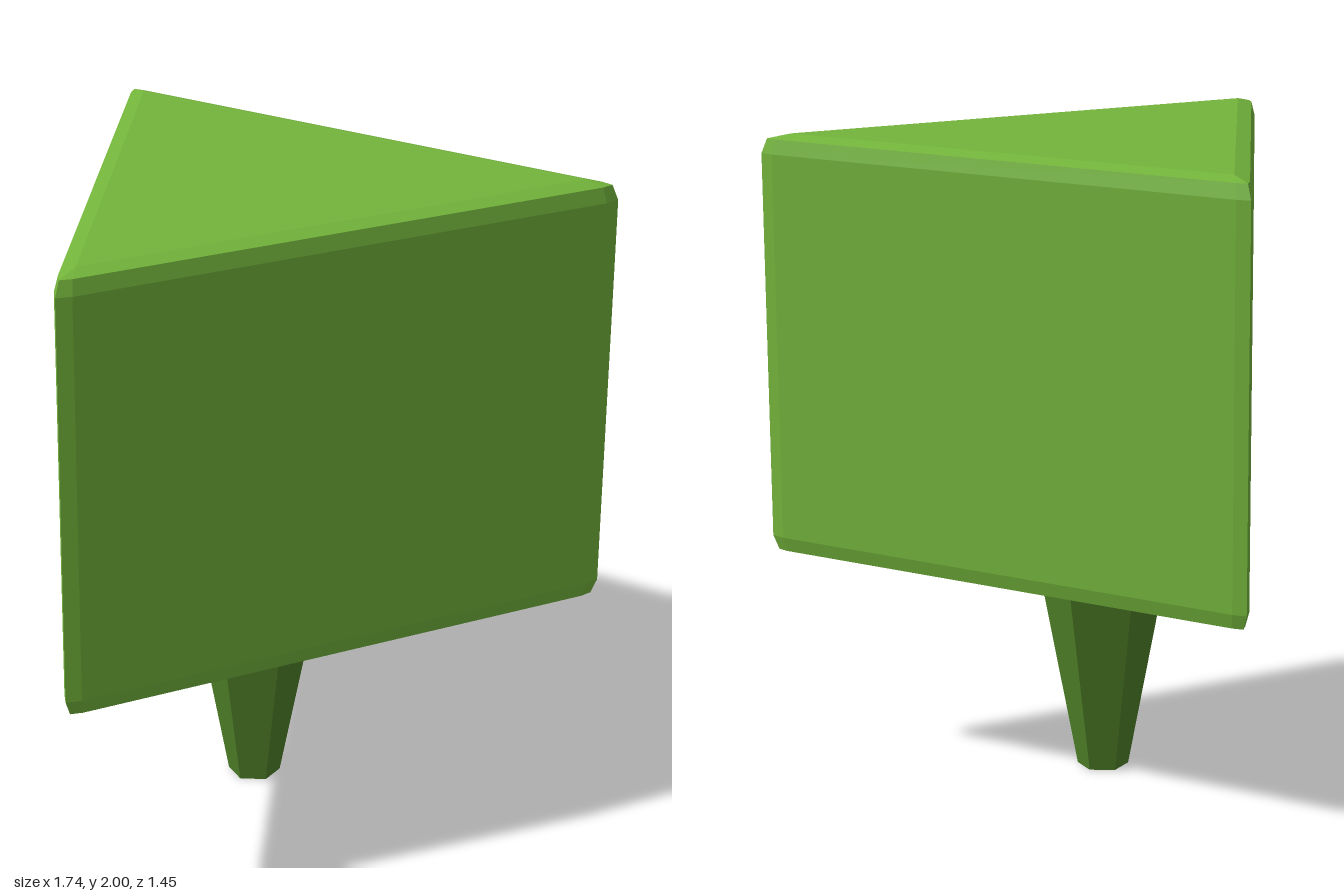
import * as THREE from 'three';
import { ConvexGeometry } from 'three/addons/geometries/ConvexGeometry.js';

const leafGreen = new THREE.MeshStandardMaterial({ color: 0x73b43b });
leafGreen.name = 'leafGreen';
const stemGreen = new THREE.MeshStandardMaterial({ color: 0x4f8228 });
stemGreen.name = 'stemGreen';

// Triangular prism with two-step bevels on the rims and corners
function beveledPrism() {
  // inner triangle [x, z], going round from the front left corner
  const core = [[0.79, 0.667], [0, -0.635], [-0.79, 0.667]].map(([x, z]) => new THREE.Vector2(x, z));
  const bevel = 0.055, tangent = 0.035, tip = 0.092;
  // outward edge normal and direction along the edge a -> b
  const edge = (a, b) => {
    const along = b.clone().sub(a).normalize();
    return { along, normal: new THREE.Vector2(-along.y, along.x) };
  };
  const points = [];
  // [height, how far the ring grows from the inner triangle]
  const rings = [[0.67, 0], [0.685, 0.8], [0.73, 1], [1.94, 1], [1.985, 0.8], [2, 0]];
  core.forEach((c, i) => {
    const before = edge(core[(i + 2) % 3], c);
    const after = edge(c, core[(i + 1) % 3]);
    // normals must point away from the middle of the triangle
    const mid = new THREE.Vector2(0, 0.233);
    for (const e of [before, after]) {
      if (e.normal.dot(c.clone().sub(mid)) < 0) e.normal.negate();
    }
    const offsets = [
      before.normal.clone().multiplyScalar(bevel).addScaledVector(before.along, tangent),
      before.normal.clone().add(after.normal).setLength(tip),
      after.normal.clone().multiplyScalar(bevel).addScaledVector(after.along, -tangent),
    ];
    for (const [y, grow] of rings) {
      for (const o of grow ? offsets : offsets.slice(0, 1)) {
        points.push(new THREE.Vector3(c.x + o.x * grow, y, c.y + o.y * grow));
      }
    }
  });
  return new ConvexGeometry(points);
}

export function createModel() {
  const group = new THREE.Group();
  group.name = 'wedgeTree';

  const crown = new THREE.Mesh(beveledPrism(), leafGreen);
  crown.name = 'crown';
  group.add(crown);

  // Six-sided stem, tapering downwards, with corners to front and back
  const stemShape = new THREE.CylinderGeometry(0.206, 0.08, 0.68, 6).toNonIndexed();
  stemShape.computeVertexNormals();
  const stem = new THREE.Mesh(stemShape, stemGreen);
  stem.name = 'stem';
  stem.position.set(0, 0.34, 0.145);
  group.add(stem);

  return group;
}
